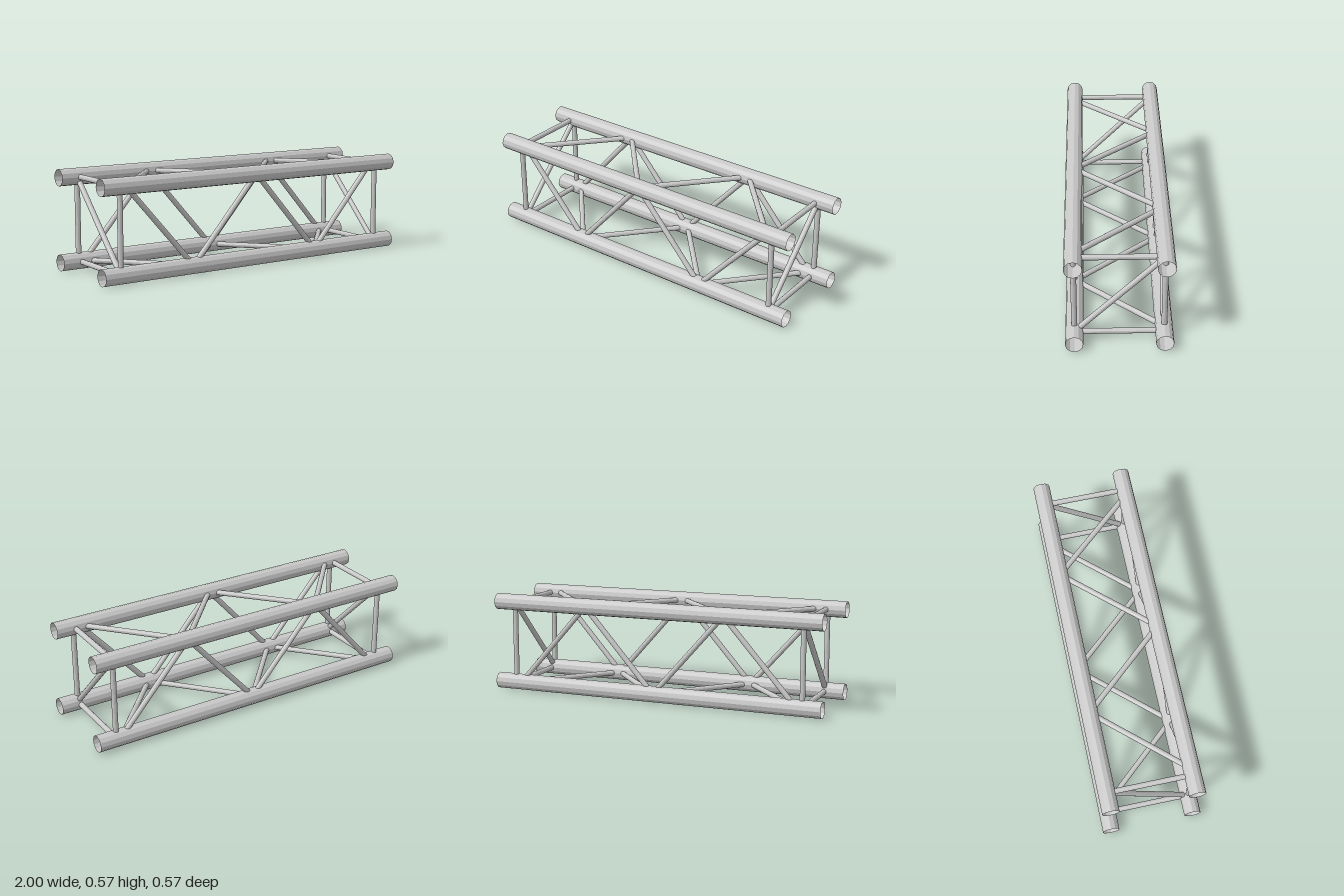
import * as THREE from 'three';

const CHORD_R = 0.048, BRACE_R = 0.0155, HALF = 0.2395;
const MID_Y = CHORD_R + HALF;
const SIDES = 12;

export function createModel() {
  const group = new THREE.Group();
  group.name = 'boxTruss';

  const aluminium = new THREE.MeshStandardMaterial({ color: 0xc8c8c8 });
  aluminium.name = 'aluminium';
  aluminium.flatShading = true;
  aluminium.side = THREE.DoubleSide;

  // Open tube running between two points
  const up = new THREE.Vector3(0, 1, 0);
  function tube(name, a, b, radius) {
    const dir = b.clone().sub(a);
    const mesh = new THREE.Mesh(
      new THREE.CylinderGeometry(radius, radius, dir.length(), SIDES, 1, true), aluminium);
    mesh.position.copy(a).add(b).multiplyScalar(0.5);
    mesh.quaternion.setFromUnitVectors(up, dir.normalize());
    mesh.name = name;
    group.add(mesh);
  }

  // Chord axes in order around the section: [y sign, z sign]
  const corners = [[1, 1], [1, -1], [-1, -1], [-1, 1]];
  const at = (corner, x) =>
    new THREE.Vector3(x, MID_Y + corner[0] * HALF, corner[1] * HALF);

  // Four main chords
  for (const c of corners) tube('chord', at(c, -1), at(c, 1), CHORD_R);

  // Square end frames, each with one diagonal
  for (const x of [-0.885, 0.885]) {
    corners.forEach((c, i) => tube('endFrameBar', at(c, x), at(corners[(i + 1) % 4], x), BRACE_R));
    tube('endFrameDiagonal', at(corners[3], x), at(corners[1], x), BRACE_R);
  }

  // Zigzag lacing on all four faces, alternating between neighbouring chords
  const nodes = [-0.85, -0.425, 0, 0.425, 0.85];
  for (let face = 0; face < 4; face++) {
    const pair = [corners[face], corners[(face + 1) % 4]];
    for (let n = 0; n < 4; n++) {
      const from = pair[(n + face) % 2], to = pair[(n + face + 1) % 2];
      tube('lacing', at(from, nodes[n]), at(to, nodes[n + 1]), BRACE_R);
    }
  }
  return group;
}
